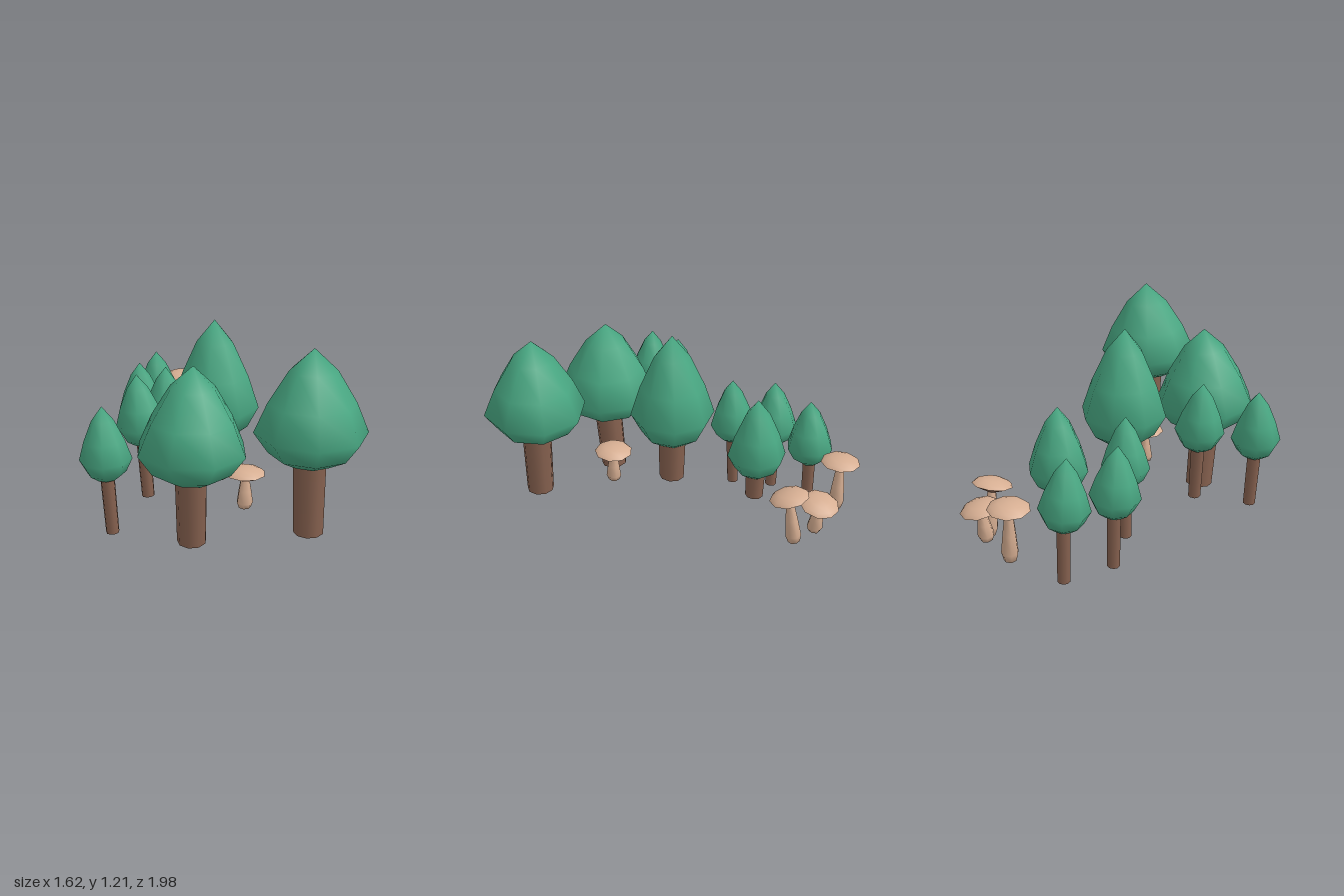
import * as THREE from 'three';
import { mergeVertices } from 'three/addons/utils/BufferGeometryUtils.js';

const UP = new THREE.Vector3(0, 1, 0);

// Faceted solid of revolution with normals smoothed over the whole surface
function smoothLathe(points, sides) {
  const lathe = new THREE.LatheGeometry(points.map(p => new THREE.Vector2(...p)), sides);
  lathe.deleteAttribute('normal');
  lathe.deleteAttribute('uv');
  const geometry = mergeVertices(lathe, 1e-4);
  geometry.computeVertexNormals();
  return geometry;
}

// Stands a unit-height part between two points, spun about its own axis
function span(mesh, from, to, radius, spin = 0) {
  const axis = to.clone().sub(from);
  mesh.position.copy(from);
  mesh.scale.set(radius, axis.length(), radius);
  mesh.quaternion.setFromUnitVectors(UP, axis.normalize());
  mesh.rotateY(spin);
  return mesh;
}

export function createModel() {
  const material = (name, color) => new THREE.MeshStandardMaterial({ name, color });
  const leaf = material('leafGreen', 0x48a782);
  const bark = material('barkBrown', 0x86614f);
  const tan = material('mushroomTan', 0xd6ae92);

  const crownGeo = smoothLathe(
    [[0, 0], [0.4, 0], [0.74, 0.09], [1, 0.27], [0.77, 0.53], [0.42, 0.81], [0, 1]], 8);
  const trunkGeo = new THREE.CylinderGeometry(1.08, 1, 1, 9).translate(0, 0.5, 0);
  const domeGeo = smoothLathe([[0.118, 0], [0.098, 0.018], [0.058, 0.034], [0, 0.04]], 9);
  const gillGeo = smoothLathe([[0, -0.045], [0.025, -0.042], [0.118, 0]], 9);
  const stemGeo = smoothLathe(
    [[0, 0], [0.75, 0], [1, 0.15], [0.78, 0.5], [0.52, 0.85], [0.52, 1]], 7);

  const model = new THREE.Group();
  model.name = 'forest';
  const V = a => new THREE.Vector3(...a);

  // Trees: trunk foot, crown base, tip, crown radius, trunk radius, crown spin in degrees
  const trees = [
    [[0.515, 0.175, 0.665], [0.512, 0.585, 0.66], [0.517, 1.207, 0.633], 0.305, 0.083, 14],
    [[-0.137, 0.05, 0.66], [-0.126, 0.445, 0.69], [-0.11, 1.085, 0.665], 0.308, 0.083, -9],
    [[-0.11, 0.2, 0.113], [-0.111, 0.468, 0.107], [-0.11, 1.18, 0.11], 0.258, 0.08, 0],
    [[-0.283, 0.2, -0.413], [-0.285, 0.36, -0.415], [-0.28, 0.87, -0.413], 0.176, 0.055, 0],
    [[-0.645, 0.002, -0.57], [-0.643, 0.335, -0.565], [-0.645, 0.752, -0.543], 0.145, 0.036, 14],
    [[-0.667, 0.02, -0.27], [-0.67, 0.35, -0.272], [-0.675, 0.767, -0.253], 0.145, 0.036, 10],
    [[-0.487, 0.06, -0.09], [-0.47, 0.39, -0.085], [-0.46, 0.81, -0.083], 0.14, 0.035, 6],
    [[-0.455, 0.18, 0.405], [-0.475, 0.51, 0.4], [-0.5, 0.922, 0.402], 0.145, 0.037, 8],
    [[-0.573, 0.1, 0.73], [-0.588, 0.43, 0.73], [-0.603, 0.845, 0.72], 0.145, 0.037, 12],
  ];
  for (const [foot, base, tip, crownR, trunkR, deg] of trees) {
    const tree = new THREE.Group();
    tree.name = 'tree';
    const trunk = new THREE.Mesh(trunkGeo, bark);
    trunk.name = 'trunk';
    span(trunk, V(foot), V(base).add(new THREE.Vector3(0, 0.03, 0)), trunkR);
    const crown = new THREE.Mesh(crownGeo, leaf);
    crown.name = 'crown';
    span(crown, V(base), V(tip), crownR, THREE.MathUtils.degToRad(deg));
    tree.add(trunk, crown);
    model.add(tree);
  }

  // Mushrooms: stem foot, centre of cap rim
  const mushrooms = [
    [[0.118, 0.157, 0.408], [0.12, 0.368, 0.402]],
    [[-0.545, 0.17, -0.838], [-0.553, 0.49, -0.838]],
    [[-0.28, 0.157, -0.863], [-0.272, 0.358, -0.888]],
    [[-0.165, 0.11, -0.803], [-0.145, 0.415, -0.762]],
  ];
  for (const [foot, rim] of mushrooms) {
    const mushroom = new THREE.Group();
    mushroom.name = 'mushroom';
    const stem = new THREE.Mesh(stemGeo, tan);
    stem.name = 'stem';
    span(stem, V(foot), V(rim), 0.048);

    // The cap leans further over than the stem
    const lean = V(rim).sub(V(foot)).multiply(new THREE.Vector3(1.6, 1, 1.6)).normalize();
    const cap = new THREE.Group();
    cap.name = 'cap';
    cap.position.set(...rim);
    cap.quaternion.setFromUnitVectors(UP, lean);
    const dome = new THREE.Mesh(domeGeo, tan);
    dome.name = 'capTop';
    const gills = new THREE.Mesh(gillGeo, bark);
    gills.name = 'capUnderside';
    cap.add(dome, gills);
    mushroom.add(stem, cap);
    model.add(mushroom);
  }
  return model;
}
